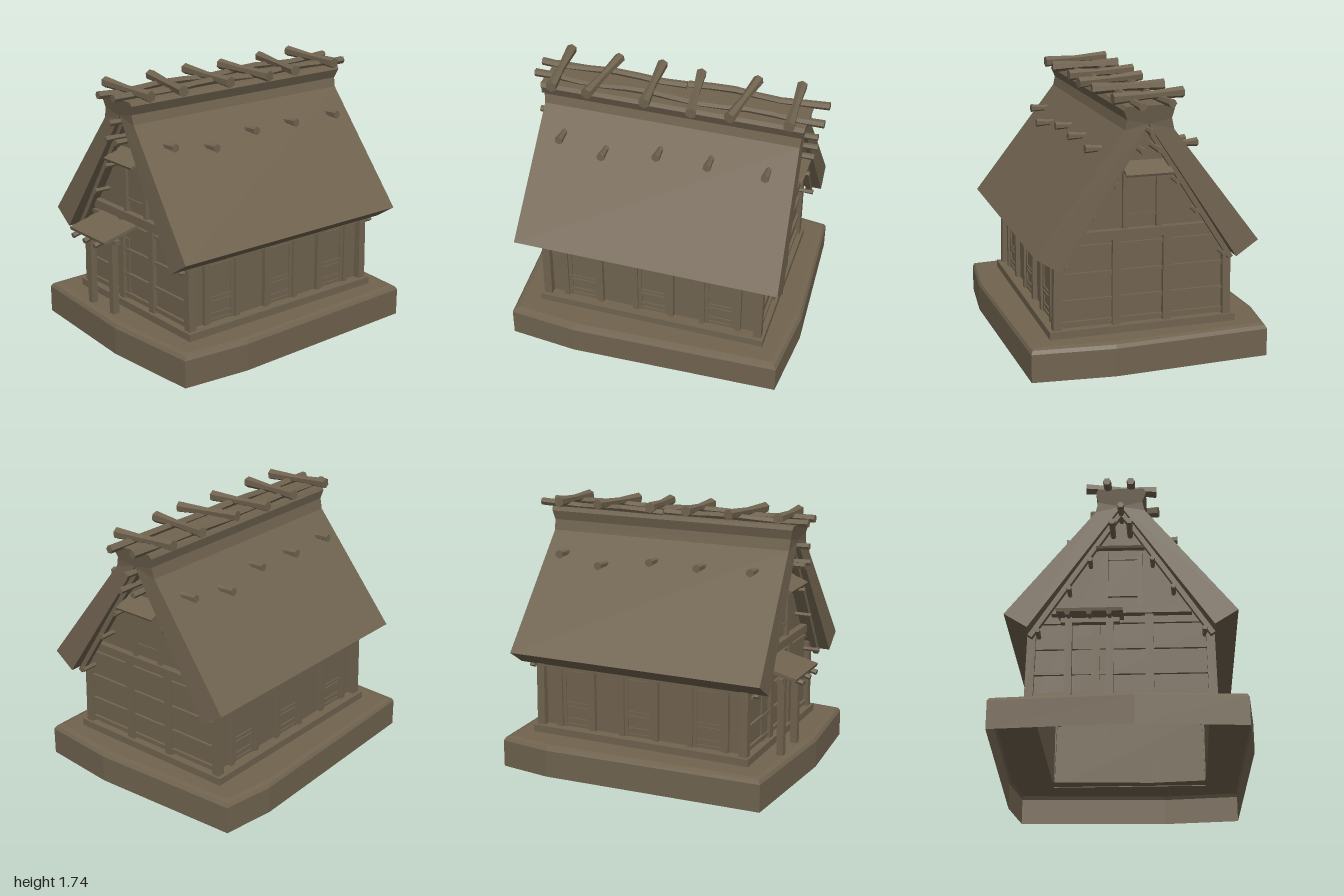
import * as THREE from 'three';

const wood = new THREE.MeshStandardMaterial({ color: 0x716450, flatShading: true, side: THREE.DoubleSide });
wood.name = 'weathered brown';

const V = (x, y, z) => new THREE.Vector3(x, y, z);

function add(parent, name, geometry) {
  const mesh = new THREE.Mesh(geometry, wood);
  mesh.name = name;
  parent.add(mesh);
  return mesh;
}

// Box given by its minimum and maximum along each axis
function block(parent, name, x0, x1, y0, y1, z0, z1) {
  const mesh = add(parent, name, new THREE.BoxGeometry(Math.abs(x1 - x0), y1 - y0, Math.abs(z1 - z0)));
  mesh.position.set((x0 + x1) / 2, (y0 + y1) / 2, (z0 + z1) / 2);
  return mesh;
}

// Rough six-sided log from a to b, with its own waist and a slight wobble
function log(parent, name, a, b, rA, rMid, rB, wobble = 0, phase = 0) {
  const length = a.distanceTo(b);
  const g = new THREE.CylinderGeometry(1, 1, length, 6, 6);
  const p = g.attributes.position;
  for (let i = 0; i < p.count; i++) {
    const t = p.getY(i) / length + 0.5;
    const end = t < 0.5 ? rA : rB;
    const r = THREE.MathUtils.lerp(rMid, end, Math.abs(2 * t - 1));
    const w = wobble * Math.sin(t * 9 + phase);
    p.setXYZ(i, p.getX(i) * r + w, p.getY(i), p.getZ(i) * r + w);
  }
  const mesh = add(parent, name, g);
  mesh.position.copy(a).add(b).multiplyScalar(0.5);
  mesh.quaternion.setFromUnitVectors(V(0, 1, 0), b.clone().sub(a).normalize());
  return mesh;
}

// Square beam from a to b in a plane of constant x
function beam(parent, name, x, depth, [z0, y0], [z1, y1], width) {
  const mesh = add(parent, name, new THREE.BoxGeometry(depth, Math.hypot(z1 - z0, y1 - y0), width));
  mesh.position.set(x, (y0 + y1) / 2, (z0 + z1) / 2);
  mesh.rotation.x = Math.atan2(z1 - z0, y1 - y0);
  return mesh;
}

function shapeOf(points) {
  return new THREE.Shape(points.map(([x, y]) => new THREE.Vector2(x, y)));
}

// Earth platform: rings of the outline, open below and under the house
function platform(parent) {
  const outline = [[-0.9, -0.77], [0.58, -0.82], [0.93, -0.77], [0.98, 0.25],
    [0.93, 0.77], [-0.45, 0.815], [-0.9, 0.77], [-0.955, 0.1]];
  const rings = [[0, 1], [0.18, 1], [0.202, 0.985], [0.21, 0.95], [0.21, 0.7]];
  const n = outline.length, pos = [], idx = [];
  rings.forEach(([y, s]) => outline.forEach(([x, z]) => pos.push(x * s, y, z * s)));
  for (let r = 0; r < rings.length - 1; r++) {
    for (let i = 0; i < n; i++) {
      const a = r * n + i, b = r * n + (i + 1) % n;
      idx.push(a, a + n, b, b, a + n, b + n);
    }
  }
  const g = new THREE.BufferGeometry();
  g.setAttribute('position', new THREE.Float32BufferAttribute(pos, 3));
  g.setIndex(idx);
  g.computeVertexNormals();
  add(parent, 'platform', g);
}

// Thatch: one cross-section along x, narrowing towards the ridge
function thatch(parent) {
  const section = [[0.73, 0.77], [0.165, 1.51], [0.15, 1.57], [0.175, 1.63], [0.16, 1.655],
    [-0.13, 1.655], [-0.143, 1.63], [-0.13, 1.57], [-0.147, 1.5], [-0.7, 0.77],
    [-0.555, 0.675], [0.015, 1.54], [0.585, 0.675]];
  const g = new THREE.ExtrudeGeometry(shapeOf(section), { depth: 1, bevelEnabled: false });
  const p = g.attributes.position;
  for (let i = 0; i < p.count; i++) {
    const z = p.getX(i), y = p.getY(i);
    const t = Math.min(1, (y - 0.67) / 0.85);
    const flare = Math.max(0, y - 1.54) * 0.22;
    const left = THREE.MathUtils.lerp(-0.865, -0.82, t) - flare;
    const right = THREE.MathUtils.lerp(0.905, 0.865, t) + flare;
    // Reversed along x so the faces keep pointing outwards
    p.setXYZ(i, THREE.MathUtils.lerp(right, left, p.getZ(i)), y, z);
  }
  g.computeVertexNormals();
  add(parent, 'thatchRoof', g);
}

// Door with frame posts and cross rails; s is the side it faces along z
function door(parent, x0, s, wallZ) {
  const g = new THREE.Group();
  g.name = 'door';
  const put = (name, xa, xb, ya, yb, out) => block(g, name, x0 + xa, x0 + xb, ya, yb, wallZ, wallZ + s * out);
  for (const x of [-0.03, 0.215]) put('doorPost', x, x + 0.036, 0.26, 0.72, 0.03);
  put('doorPanel', 0.006, 0.215, 0.26, 0.66, 0.008);
  for (const y of [0.265, 0.305, 0.385, 0.415, 0.63]) put('doorRail', 0.015, 0.205, y, y + 0.018, 0.016);
  for (const x of [0.006, 0.19]) put('doorStile', x, x + 0.025, 0.26, 0.66, 0.016);
  parent.add(g);
}

// Gable framing on the wall at x = wallX, facing s along x
function gable(parent, wallX, s) {
  const g = new THREE.Group();
  g.name = 'gable';
  const put = (name, out, z0, z1, y0, y1) => block(g, name, wallX, wallX + s * out, y0, y1, z0, z1);
  for (const z of [0.16, -0.17]) put('wallPost', 0.03, z, z + 0.052, 0.25, 0.82);
  put('tieBeam', 0.045, -0.42, 0.45, 0.82, 0.875);
  for (const y of [0.765, 0.59, 0.42, 0.28]) put('wallRail', 0.018, -0.53, 0.54, y, y + 0.022);
  // Gable window under a small sloping hood
  for (const z of [0.115, -0.1]) put('windowPost', 0.028, z, z + 0.03, 0.875, 1.26);
  put('windowShutter', 0.009, -0.07, 0.115, 0.96, 1.22);
  for (const y of [0.95, 1.21]) put('windowRail', 0.018, -0.07, 0.115, y, y + 0.015);
  const hood = add(g, 'windowHood', new THREE.BoxGeometry(0.15, 0.015, 0.3));
  hood.position.set(wallX + s * 0.075, 1.262, 0.01);
  hood.rotation.z = -s * 0.4;
  // Rafters under the thatch, with short ties and purlin ends
  const rx = wallX + s * 0.075;
  for (const k of [-1, 1]) {
    beam(g, 'rafter', rx, 0.035, [0.015 + k * 0.56, 0.65], [0.015, 1.52], 0.032);
    for (const y of [0.68, 0.97, 1.17, 1.39]) {
      const z = 0.015 + k * ((1.52 - y) * 0.644 - 0.03);
      const tip = y > 1.3 ? s * 0.195 : s * 0.11;
      const r = y > 1.3 ? 0.018 : 0.014;
      log(g, 'purlinEnd', V(wallX - s * 0.05, y, z), V(wallX + tip, y, z), r, r, r + 0.003);
    }
  }
  log(g, 'ridgePurlin', V(wallX - s * 0.05, 1.5, 0.015), V(wallX + s * 0.2, 1.505, 0.015), 0.018, 0.018, 0.022);
  parent.add(g);
}

function house(parent) {
  const X0 = -0.7, X1 = 0.75, Z0 = -0.525, Z1 = 0.545;
  // Wall sheets, open below
  const gableShape = shapeOf([[Z0, 0.21], [Z1, 0.21], [Z1, 0.72], [0.015, 1.53], [Z0, 0.72]]);
  for (const x of [X0, X1]) {
    const g = new THREE.ShapeGeometry(gableShape);
    g.rotateY(-Math.PI / 2);
    if (x > 0) g.index.array.reverse();
    if (x > 0) g.computeVertexNormals();
    add(parent, 'gableWall', g).position.x = x;
  }
  for (const [z, s] of [[Z0, -1], [Z1, 1]]) {
    const wall = add(parent, 'longWall', new THREE.PlaneGeometry(X1 - X0, 0.53));
    wall.position.set((X0 + X1) / 2, 0.475, z);
    if (s < 0) wall.rotation.y = Math.PI;
    block(parent, 'longSill', X0 - 0.05, X1 + 0.05, 0.205, 0.258, z, z + s * 0.075);
    block(parent, 'wallPlate', X0, X1, 0.66, 0.7, z, z + s * 0.03);
    for (const x of [-0.565, -0.075, 0.385]) door(parent, x, s, z);
    // Corner posts, leaning very slightly inwards
    for (const x of [X0 - 0.005, X1 + 0.005]) {
      const post = block(parent, 'cornerPost', x - 0.027, x + 0.027, 0.21, 0.73, z - 0.008 * s, z + s * 0.045);
      post.rotation.x = -s * 0.02;
    }
  }
  for (const [x, s] of [[X0, -1], [X1, 1]]) {
    block(parent, 'gableSill', x, x + s * 0.05, 0.205, 0.258, Z0 - 0.07, Z1 + 0.07);
    gable(parent, x, s);
  }
}

// Lean-to porch over the entrance on the right gable
function porch(parent) {
  const g = new THREE.Group();
  g.name = 'porch';
  for (const z of [-0.3, -0.05]) block(g, 'porchPost', -0.877, -0.832, 0.2, 0.73, z - 0.022, z + 0.022);
  block(g, 'porchBeam', -0.875, -0.835, 0.695, 0.725, -0.35, 0.01);
  const roof = add(g, 'porchRoof', new THREE.BoxGeometry(0.29, 0.02, 0.4));
  roof.position.set(-0.83, 0.768, -0.17);
  roof.rotation.z = 0.24;
  for (const z of [-0.3, -0.17, -0.05]) {
    log(g, 'porchRafter', V(-0.995, 0.705, z), V(-0.7, 0.775, z), 0.018, 0.014, 0.014);
  }
  block(g, 'entranceDoor', -0.709, -0.7, 0.26, 0.68, -0.27, -0.08);
  parent.add(g);
}

// Ridge poles, cross logs and pegs through the thatch
function ridge(parent) {
  const g = new THREE.Group();
  g.name = 'ridge';
  const poles = [[-0.92, -0.07, 0.07, -0.075], [0.07, -0.1, 0.99, -0.085], [-0.91, 0.085, 0.02, 0.085], [0.02, 0.09, 0.995, 0.09]];
  poles.forEach(([xa, za, xb, zb], i) =>
    log(g, 'ridgePole', V(xa, 1.668, za), V(xb, 1.672, zb), 0.026, 0.022, 0.026, 0.007, i * 2));
  const cross = [[-0.77, -0.21, -0.74, 0.24], [-0.43, -0.2, -0.5, 0.25], [-0.14, -0.21, -0.12, 0.24],
    [0.13, -0.18, 0.19, 0.26], [0.5, -0.21, 0.43, 0.24], [0.78, -0.23, 0.8, 0.22]];
  for (const [xa, za, xb, zb] of cross) {
    log(g, 'crossLog', V(xa, 1.708, za), V(xb, 1.69, zb), 0.036, 0.025, 0.038);
  }
  const pegs = [[-0.655, 1.38, 0.37], [-0.36, 1.335, 0.405], [-0.005, 1.38, 0.365], [0.33, 1.38, 0.37], [0.7, 1.375, 0.365],
    [-0.64, 1.38, -0.34], [-0.28, 1.375, -0.35], [0.06, 1.38, -0.34], [0.41, 1.335, -0.385], [0.72, 1.38, -0.35]];
  for (const [x, y, z] of pegs) {
    log(g, 'thatchPeg', V(x, y, z), V(x, y - 0.005, z - Math.sign(z) * 0.16), 0.028, 0.02, 0.024);
  }
  parent.add(g);
}

export function createModel() {
  const model = new THREE.Group();
  model.name = 'thatchedFarmhouse';
  platform(model);
  house(model);
  thatch(model);
  porch(model);
  ridge(model);
  return model;
}
